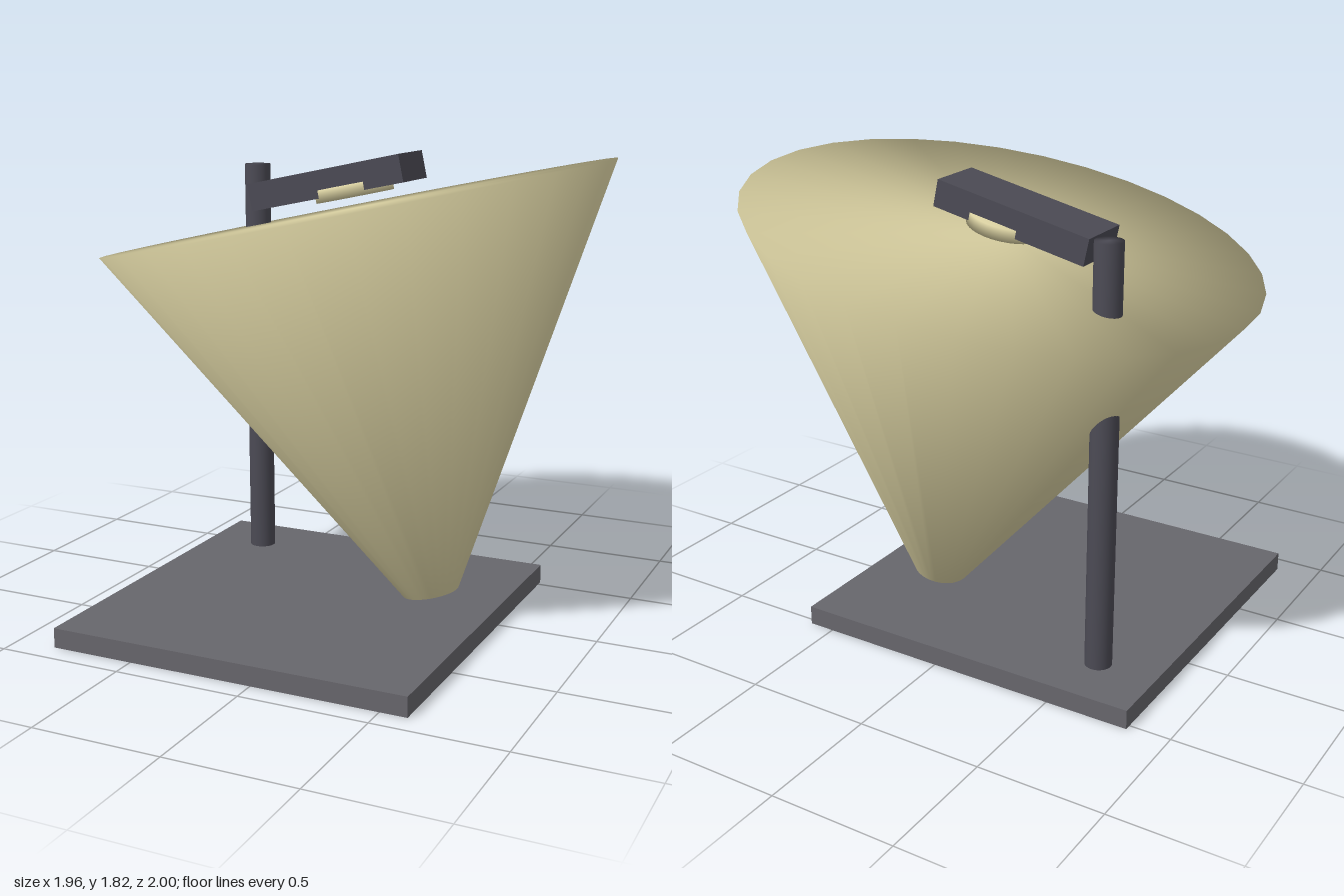
import * as THREE from 'three';

const cream = new THREE.MeshStandardMaterial({ name: 'cream', color: 0xdad1a2 });
const charcoal = new THREE.MeshStandardMaterial({ name: 'charcoal', color: 0x4c4b55 });
const grey = new THREE.MeshStandardMaterial({ name: 'grey', color: 0x67666c });

const TILT = THREE.MathUtils.degToRad(12);

// Closed frustum, centred on its axis, with normals blended softly over its rims
function softFrustum(bottomRadius, topRadius, height) {
  const h = height / 2;
  const profile = [[0, -h], [bottomRadius, -h], [topRadius, h], [0, h]];
  return new THREE.LatheGeometry(profile.map(([x, y]) => new THREE.Vector2(x, y)), 32);
}

export function createModel() {
  const model = new THREE.Group();
  model.name = 'lampWithCone';

  function add(name, geometry, material, x, y, z, tilt = 0) {
    const mesh = new THREE.Mesh(geometry, material);
    mesh.name = name;
    mesh.position.set(x, y, z);
    mesh.rotation.z = tilt;
    model.add(mesh);
  }

  // Flat foot and upright pole
  add('base', new THREE.BoxGeometry(1.44, 0.077, 1.436), grey, -0.115, 0.0385, 0.192);
  add('pole', softFrustum(0.053, 0.053, 1.69), charcoal, -0.593, 0.885, -0.293);

  // Large tilted cone, standing on its narrow end
  add('cone', softFrustum(0.112, 1, 1.539), cream, 0.16, 0.85, 0, TILT);

  // Tilted head with the round lens below it
  add('head', new THREE.BoxGeometry(0.655, 0.107, 0.23), charcoal, -0.11, 1.696, -0.04, TILT);
  add('lens', softFrustum(0.153, 0.153, 0.05), cream, -0.035, 1.664, -0.042, TILT);

  return model;
}
